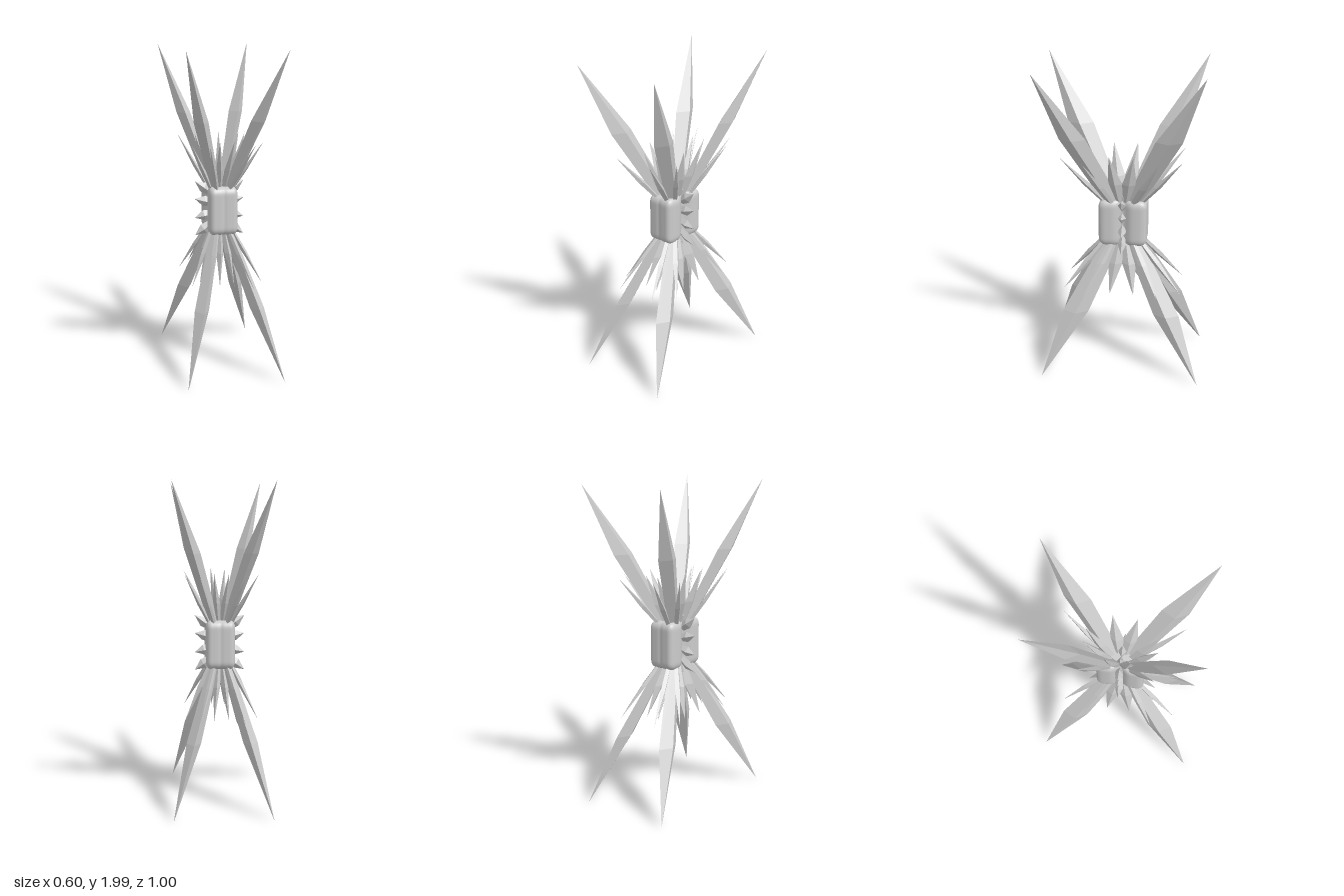
import * as THREE from 'three';

const faceted = new THREE.MeshStandardMaterial({ color: 0xcccccc, flatShading: true });
const smooth = new THREE.MeshStandardMaterial({ color: 0xcccccc });

// Four-sided crystal from start to tip, its level diamond section widest at fraction mid
function crystal(start, tip, hx, hz, mid, baseScale) {
  const geo = new THREE.CylinderGeometry(0, 1, 1, 4, 2);
  const p = geo.attributes.position;
  const flip = Math.sign(tip.y - start.y);
  for (let i = 0; i < p.count; i++) {
    const h = p.getY(i) + 0.5;
    const r = Math.hypot(p.getX(i), p.getZ(i)) || 1;
    const ux = p.getX(i) / r, uz = p.getZ(i) / r;
    const t = h > 0.9 ? 1 : h > 0.1 ? mid : 0;
    const w = h > 0.9 ? 0 : h > 0.1 ? 1 : baseScale;
    const c = start.clone().lerp(tip, t);
    p.setXYZ(i, c.x + ux * hx * w * flip, c.y, c.z + uz * hz * w);
  }
  geo.computeVertexNormals();
  return geo;
}

// Rounded block with a groove down each side
function bodyGeometry() {
  const half = new THREE.Vector3(0.09, 0.15, 0.15);
  const geo = new THREE.BoxGeometry(2, 2, 2, 24, 24, 24);
  const p = geo.attributes.position;
  const round = new THREE.Vector3(0.032, 0.045, 0.045);
  const v = new THREE.Vector3(), core = new THREE.Vector3(), d = new THREE.Vector3();
  for (let i = 0; i < p.count; i++) {
    v.fromBufferAttribute(p, i).multiply(half);
    core.copy(half).sub(round);
    core.set(
      THREE.MathUtils.clamp(v.x, -core.x, core.x),
      THREE.MathUtils.clamp(v.y, -core.y, core.y),
      THREE.MathUtils.clamp(v.z, -core.z, core.z));
    d.copy(v).sub(core).divide(round).normalize().multiply(round);
    v.copy(core).add(d);
    v.x *= 1 - 0.35 * Math.exp(-((v.z / 0.035) ** 2));
    v.z *= 1 - 0.03 * Math.exp(-((v.x / 0.012) ** 2));
    p.setXYZ(i, v.x, v.y, v.z);
  }
  geo.computeVertexNormals();
  return geo;
}

export function createModel() {
  const model = new THREE.Group();
  const add = (name, geo, mat = faceted) => {
    const mesh = new THREE.Mesh(geo, mat);
    mesh.name = name;
    model.add(mesh);
    return mesh;
  };

  add('body', bodyGeometry(), smooth).position.y = 1;

  // Crystals radiating from the centre: tip, half widths in x and z
  const crystals = [
    ['longBlade', [0.298, 0.995, 0.498], 0.044, 0.08],
    ['innerSideSpike', [0.14, 0.46, 0.075], 0.026, 0.045],
    ['innerFrontSpike', [0.045, 0.45, 0.225], 0.022, 0.038],
    ['outerSideSpike', [0.22, 0.44, 0.228], 0.016, 0.026],
    ['outerFrontSpike', [0.135, 0.44, 0.37], 0.016, 0.026],
  ];
  const centre = new THREE.Vector3(0, 1, 0);
  for (const sx of [1, -1]) for (const sy of [1, -1]) {
    for (const sz of [1, -1]) {
      for (const [name, [x, y, z], hx, hz] of crystals) {
        const tip = new THREE.Vector3(sx * x, 1 + sy * y, sz * z);
        add(name, crystal(centre, tip, hx, hz, 0.575, 0.6));
      }
    }

    // Short thorns along the side grooves: base and tip in x, y
    const thorns = [
      ['lowerThorn', 0.05, 0.035, 0.155, 0.06],
      ['upperThorn', 0.055, 0.1, 0.155, 0.172],
      ['topThorn', 0.028, 0.12, 0.045, 0.25],
    ];
    for (const [name, x0, y0, x1, y1] of thorns) {
      const a = new THREE.Vector3(sx * x0, 1 + sy * y0, 0);
      const b = new THREE.Vector3(sx * x1, 1 + sy * y1, 0);
      const len = a.distanceTo(b);
      const local = crystal(new THREE.Vector3(), new THREE.Vector3(0, len, 0), 0.033, 0.025, 0.45, 0.7);
      const thorn = add(name, local);
      thorn.position.copy(a);
      thorn.quaternion.setFromUnitVectors(new THREE.Vector3(0, 1, 0), b.sub(a).normalize());
    }
  }
  return model;
}
